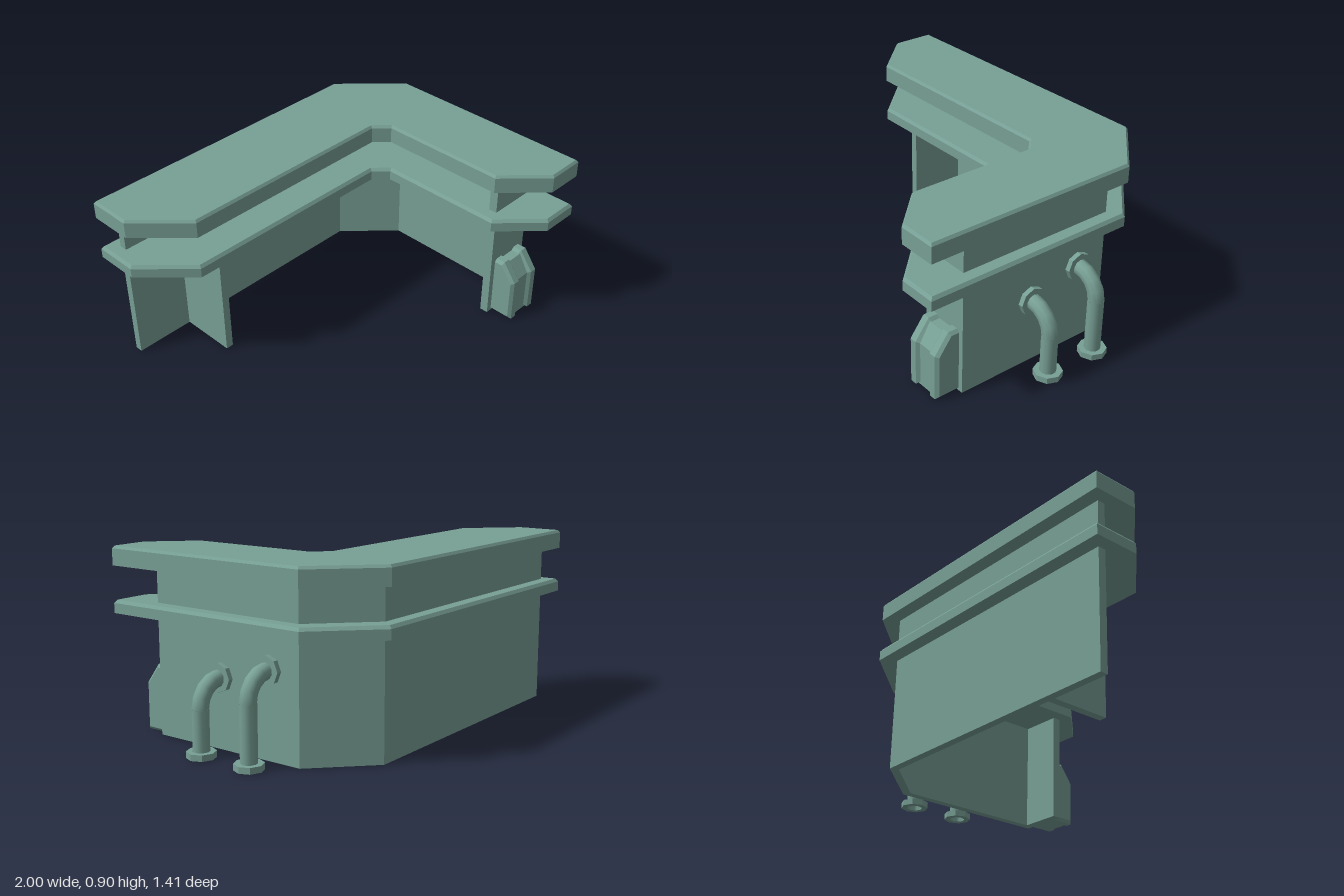
import * as THREE from 'three';

const COLOR = 0x78a095;
const flat = new THREE.MeshStandardMaterial({ color: COLOR, flatShading: true });
const fitting = new THREE.MeshStandardMaterial({ color: COLOR, flatShading: true, side: THREE.DoubleSide });
const smooth = new THREE.MeshStandardMaterial({ color: COLOR, side: THREE.DoubleSide });

function add(parent, name, geometry, material = flat) {
  const mesh = new THREE.Mesh(geometry, material);
  mesh.name = name;
  parent.add(mesh);
  return mesh;
}

function box(parent, name, x0, x1, y0, y1, z0, z1) {
  const mesh = add(parent, name, new THREE.BoxGeometry(x1 - x0, y1 - y0, z1 - z0));
  mesh.position.set((x0 + x1) / 2, (y0 + y1) / 2, (z0 + z1) / 2);
}

// Shrinks a counter-clockwise outline by d with mitred corners
function inset(points, d) {
  const n = points.length;
  return points.map((p, i) => {
    const a = p.clone().sub(points[(i + n - 1) % n]).normalize();
    const b = points[(i + 1) % n].clone().sub(p).normalize();
    const na = new THREE.Vector2(-a.y, a.x), nb = new THREE.Vector2(-b.y, b.x);
    return p.clone().addScaledVector(na.clone().add(nb), d / (1 + na.dot(nb)));
  });
}

// Plan outline given as [x, z] pairs, extruded upward; the top edge may be chamfered
function planSolid(plan, y0, y1, chamfer = 0) {
  let pts = plan.map(([x, z]) => new THREE.Vector2(x, -z));
  if (THREE.ShapeUtils.isClockWise(pts)) pts.reverse();
  const h = y1 - y0;
  const geo = new THREE.ExtrudeGeometry(new THREE.Shape(pts), { depth: h, steps: 2, bevelEnabled: false });
  if (chamfer) {
    const small = inset(pts, chamfer);
    const pos = geo.attributes.position;
    for (let i = 0; i < pos.count; i++) {
      const z = pos.getZ(i);
      if (z > h * 0.9) {
        const k = pts.findIndex(p => Math.hypot(p.x - pos.getX(i), p.y - pos.getY(i)) < 1e-4);
        pos.setXY(i, small[k].x, small[k].y);
      } else if (z > h * 0.1) pos.setZ(i, h - chamfer * 1.3);
    }
    geo.computeVertexNormals();
  }
  return geo.rotateX(-Math.PI / 2).translate(0, y0, 0);
}

// Side outline given as [z, y] pairs, extruded along x
function sideSolid(profile, x0, x1, bevel = 0) {
  const shape = new THREE.Shape(profile.map(([z, y]) => new THREE.Vector2(-z, y)));
  return new THREE.ExtrudeGeometry(shape, {
    depth: x1 - x0 - 2 * bevel, bevelEnabled: bevel > 0, bevelSize: bevel,
    bevelOffset: -bevel, bevelThickness: bevel, bevelSegments: 1,
  }).rotateY(Math.PI / 2).translate(x0 + bevel, 0, 0);
}

// Eight-sided ring with an open bore, standing on y = 0
function flange(outer, bore, height) {
  const ring = [[bore, 0], [outer, 0], [outer, height], [bore, height], [bore, 0]];
  return new THREE.LatheGeometry(ring.map(p => new THREE.Vector2(...p)), 8);
}

// Bent pipe leaving the side wall and dropping to the floor
function pipe(z, height) {
  const group = new THREE.Group();
  group.name = 'pipe';
  const wallX = 0.79, bend = 0.12, r = 0.04, startX = 0.81, drop = height - bend;
  add(group, 'pipeElbow', new THREE.TorusGeometry(bend, r, 10, 4, Math.PI / 2), smooth)
    .position.set(startX, drop, 0);
  add(group, 'pipeRiser', new THREE.CylinderGeometry(r, r, drop, 10, 1, true), smooth)
    .position.set(startX + bend, drop / 2, 0);
  add(group, 'floorFlange', flange(0.07, r, 0.03), fitting).position.x = startX + bend;
  const wallFlange = add(group, 'wallFlange', flange(0.07, r * 0.9, 0.025), fitting);
  wallFlange.rotation.z = -Math.PI / 2;
  wallFlange.position.set(wallX, height, 0);
  group.position.z = z;
  return group;
}

export function createModel() {
  const model = new THREE.Group();
  model.name = 'cornerCounter';

  // Counter top and the shelf below it share one L-shaped plan
  const slab = [[-1, -0.71], [0.58, -0.71], [0.86, -0.43], [0.86, 0.7], [0.66, 0.7],
    [0.46, 0.5], [0.46, -0.175], [0.39, -0.245], [-0.77, -0.245], [-1, -0.48]];
  add(model, 'counterTop', planSolid(slab, 0.81, 0.905, 0.01));
  add(model, 'shelf', planSolid(slab, 0.58, 0.645, 0.012));

  // Thin wall following the outer side
  const wall = [[-0.935, -0.64], [0.525, -0.64], [0.79, -0.375], [0.79, 0.475],
    [0.75, 0.475], [0.75, -0.358], [0.508, -0.6], [-0.935, -0.6]];
  add(model, 'outerWall', planSolid(wall, 0, 0.82));
  box(model, 'endPanel', 0.53, 0.77, 0, 0.82, 0.43, 0.475);
  box(model, 'supportRib', -0.62, -0.58, 0, 0.59, -0.61, -0.3);

  // Buttress on the end panel: recessed core between two ridges
  const buttress = new THREE.Group();
  buttress.name = 'endButtress';
  model.add(buttress);
  const core = [[0.47, 0], [0.47, 0.32], [0.525, 0.32], [0.585, 0.23], [0.585, 0]];
  const ridge = [[0.46, 0], [0.46, 0.335], [0.525, 0.335], [0.6, 0.235], [0.6, 0]];
  add(buttress, 'buttressCore', sideSolid(core.reverse(), 0.58, 0.745));
  ridge.reverse();
  for (const x of [0.56, 0.7]) add(buttress, 'buttressRidge', sideSolid(ridge, x, x + 0.065, 0.015));

  // Pipes on the side wall
  model.add(pipe(-0.205, 0.42), pipe(0.08, 0.345));
  return model;
}
